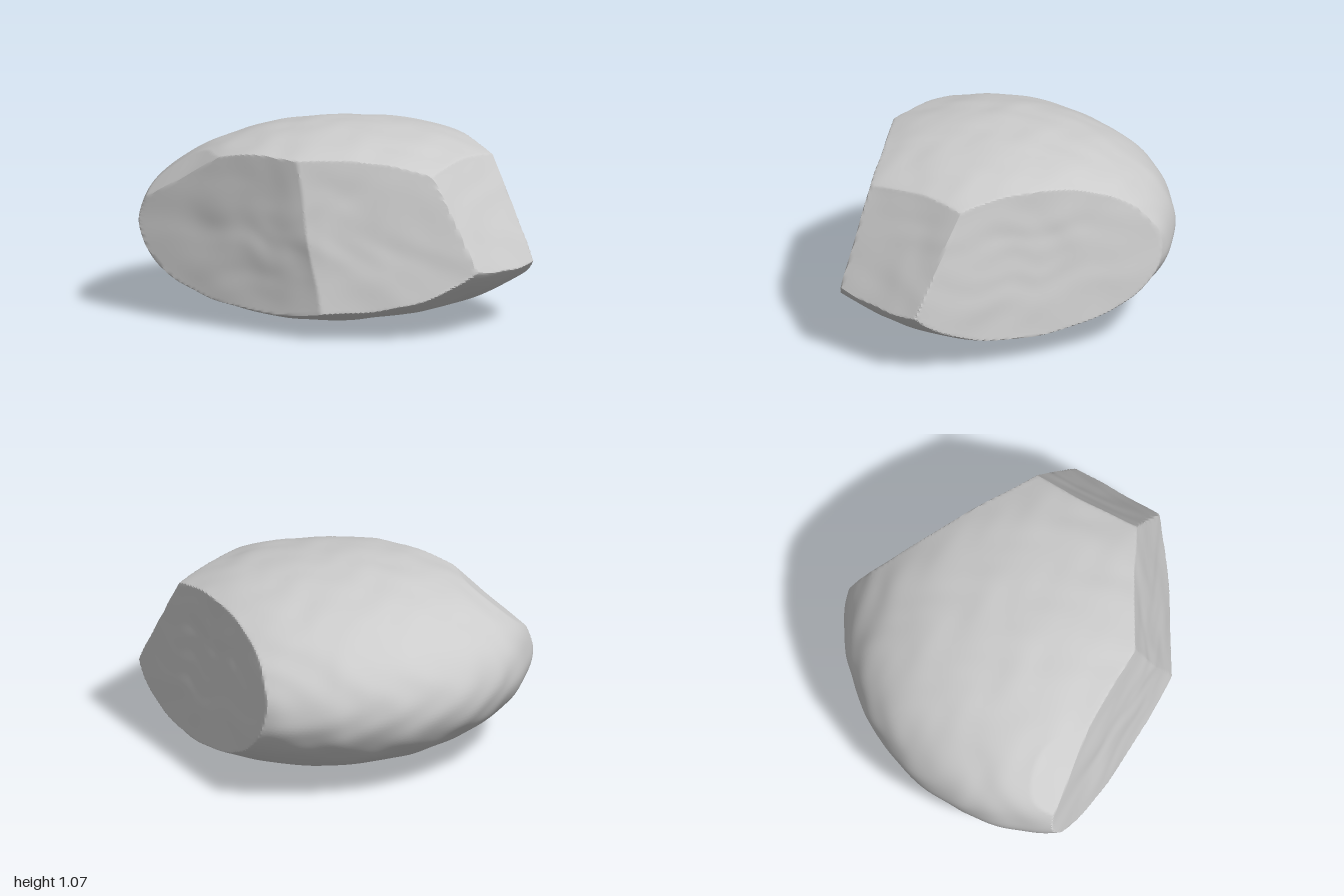
import * as THREE from 'three';
import { toCreasedNormals } from 'three/addons/utils/BufferGeometryUtils.js';

const CENTRE = new THREE.Vector3(0.12, 0.51, 0);

// Broken faces of the boulder: outward normal and a point on each plane
const CUTS = [
  { normal: [1, 0.17, -0.03], point: [0.815, 0.95, 0] },         // side face
  { normal: [0.53, 0.56, 0.846], point: [0.49, 0.38, 1.0] },     // sloping front corner
  { normal: [-0.47, 0.25, 0.88], point: [-0.32, 0.15, 0.65] },   // front face
  { normal: [-0.857, 0.13, 0.514], point: [-0.33, 0.13, 0.64] }, // slanted side face
  { normal: [-0.65, 0.76, -0.1], point: [-0.7, 0.82, -0.3] },    // worn upper shoulder
].map(({ normal, point }) => {
  const n = new THREE.Vector3(...normal).normalize();
  return { n, d: n.dot(new THREE.Vector3(...point).sub(CENTRE)) };
});

// Smooth waves that roughen the stone
function ripple(v, f) {
  return Math.sin(f * v.x + 1.3 * Math.sin(f * 0.7 * v.y + 0.4))
    * Math.sin(f * 1.1 * v.y + 1.1 * Math.sin(f * 0.8 * v.z + 2.0))
    + 0.6 * Math.sin(f * 1.2 * v.z + 1.4 * Math.sin(f * 0.9 * v.x + 1.0));
}

// Uncut, lopsided pebble
function pebble(dir) {
  const right = 1.175 + 0.085 * Math.tanh(2.5 * dir.z);
  const p = new THREE.Vector3(
    dir.x * (dir.x > 0 ? right : 1.14),
    dir.y * (dir.y > 0 ? 0.55 : 0.51),
    dir.z * (dir.z > 0 ? 1.08 : 1.0));
  return p.multiplyScalar(1 + 0.005 * ripple(p, 6) + 0.004 * ripple(p, 17));
}

function boulderGeometry() {
  const geometry = new THREE.IcosahedronGeometry(1, 80);
  geometry.deleteAttribute('uv');
  const pos = geometry.attributes.position;
  const dir = new THREE.Vector3();

  for (let i = 0; i < pos.count; i++) {
    dir.fromBufferAttribute(pos, i).normalize();
    const p = pebble(dir);
    // Pull the surface back to the nearest broken face
    let t = 1;
    CUTS.forEach(({ n, d }, j) => {
      const reach = n.dot(p);
      const wave = 0.004 * ripple(p, 4 + j) + 0.002 * ripple(p, 13);
      if (reach > 0) t = Math.min(t, (d + wave) / reach);
    });
    p.multiplyScalar(t).add(CENTRE);
    pos.setXYZ(i, p.x, p.y, p.z);
  }

  // Rest on the ground, centred
  geometry.computeBoundingBox();
  const { min, max } = geometry.boundingBox;
  geometry.translate(-(min.x + max.x) / 2, -min.y, -(min.z + max.z) / 2);
  return toCreasedNormals(geometry, 0.5);
}

export function createModel() {
  const group = new THREE.Group();
  group.name = 'rock';
  const boulder = new THREE.Mesh(
    boulderGeometry(),
    new THREE.MeshStandardMaterial({ color: 0xcccccc, roughness: 0.9 }));
  boulder.name = 'boulder';
  group.add(boulder);
  return group;
}
